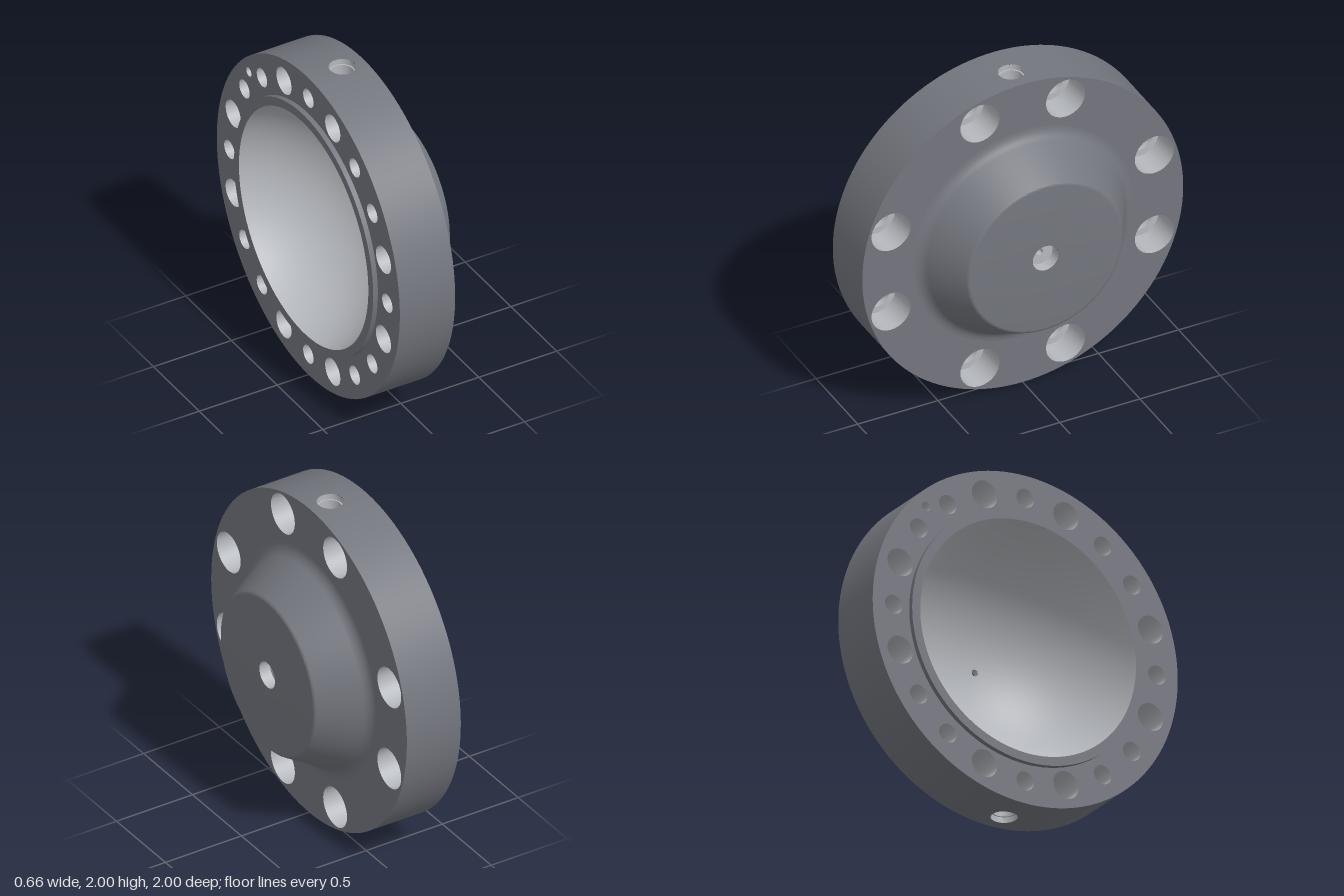
import * as THREE from 'three';
import { toCreasedNormals } from 'three/addons/utils/BufferGeometryUtils.js';

const BACK = -0.3, FRONT = 0.055;      // flange faces along x
const PITCH = 0.863;                   // bolt circle radius
const SMALL = 0.057, BOLT = 0.083, SINK = 0.122;
const PORT_X = -0.083, PORT_R = 0.075;
const GAP = Math.PI / 32;              // half angle of the rim patch around a radial port
const HUB_R = 0.69, FILLET = 0.085;    // foot of the hub and its fillet
const BOWL_R = 0.73, BOWL_X = -0.51;   // radius and centre of the inner bowl

// Dark outer skin, light machined bores
const skin = new THREE.MeshStandardMaterial({ color: 0x74767e });
const bore = new THREE.MeshStandardMaterial({ color: 0xb5b8bd });

// Circle as a list of points
function circle(cx, cy, r, n) {
  return Array.from({ length: n }, (_, i) => {
    const a = (i / n) * Math.PI * 2;
    return new THREE.Vector2(cx + r * Math.cos(a), cy + r * Math.sin(a));
  });
}

// Revolved [radius, height] profile with sharp edges kept; height runs along y
function revolve(profile, segments, start = 0, length = Math.PI * 2) {
  const pts = profile.map(([r, h]) => new THREE.Vector2(r, h));
  return toCreasedNormals(new THREE.LatheGeometry(pts, segments, start, length), 0.6);
}

// Turn the y axis of a revolved part onto x
const alongX = (geometry) => geometry.rotateZ(-Math.PI / 2);

// Flat annular face pierced by round holes given as [u, v, radius]
function piercedFace(inner, holes) {
  const shape = new THREE.Shape(circle(0, 0, 1, 128));
  shape.holes.push(new THREE.Path(circle(0, 0, inner, 128)));
  for (const [u, v, r] of holes) shape.holes.push(new THREE.Path(circle(u, v, r, 32)));
  return new THREE.ShapeGeometry(shape);
}

// Piece of the rim bent round the axis, with a round opening for a radial port
function rimPatch() {
  const pts = [];
  for (let i = -2; i <= 2; i++) pts.push(new THREE.Vector2(i * GAP / 2, BACK));
  for (let i = 2; i >= -2; i--) pts.push(new THREE.Vector2(i * GAP / 2, FRONT));
  const shape = new THREE.Shape(pts);
  shape.holes.push(new THREE.Path(circle(0, PORT_X, PORT_R, 32)));
  const geometry = new THREE.ShapeGeometry(shape);
  const pos = geometry.attributes.position, nor = geometry.attributes.normal;
  for (let i = 0; i < pos.count; i++) {
    const a = pos.getX(i), x = pos.getY(i);
    pos.setXYZ(i, x, Math.cos(a), Math.sin(a));
    nor.setXYZ(i, 0, Math.cos(a), Math.sin(a));
  }
  return geometry;
}

export function createModel() {
  const model = new THREE.Group();
  model.name = 'flange';
  const body = new THREE.Group();
  body.name = 'flangeBody';
  body.position.y = 1;
  model.add(body);

  const add = (name, geometry, material, y = 0, z = 0) => {
    const mesh = new THREE.Mesh(geometry, material);
    mesh.name = name;
    mesh.position.set(0, y, z);
    body.add(mesh);
    return mesh;
  };

  // Hub: fillet, 30 degree flank and softened end face
  const hub = [];
  for (let i = 0; i <= 6; i++) {
    const a = (i / 6) * Math.PI / 3;
    hub.push([HUB_R - FILLET * Math.sin(a), FRONT + FILLET * (1 - Math.cos(a))]);
  }
  hub.push([0.488, 0.318], [0.482, 0.325], [0.475, 0.329], [0.466, 0.33], [0.08, 0.33]);
  add('hub', alongX(revolve(hub, 128)), skin);

  // Central port with its fine through hole
  add('centralPort', alongX(revolve(
    [[0.08, 0.33], [0.08, 0.26], [0.02, 0.26], [0.02, 0.22]], 48)), bore);

  // Rounded inner bowl, from the fine hole out to the mouth
  const bowl = [];
  const a0 = Math.asin(0.02 / BOWL_R), a1 = Math.acos((-0.33 - BOWL_X) / BOWL_R);
  for (let i = 0; i <= 24; i++) {
    const a = a0 + (a1 - a0) * i / 24;
    bowl.push([BOWL_R * Math.sin(a), BOWL_X + BOWL_R * Math.cos(a)]);
  }
  add('bowl', alongX(revolve(bowl, 128)), bore);

  // Raised sealing face
  add('raisedFace', alongX(revolve([[0.707, -0.33], [0.76, -0.33], [0.76, BACK]], 128)), skin);

  // Twenty hole positions: eight through bolts, the rest blind holes in the back face
  const bolts = [], blind = [];
  for (let i = 0; i < 20; i++) {
    const a = (i * Math.PI) / 10;
    const spot = [PITCH * Math.cos(a), PITCH * Math.sin(a)];
    (i % 5 === 1 || i % 5 === 4 ? bolts : blind).push(spot);
  }
  const pin = [-0.65, 0.65];

  // Flange faces
  add('frontFace', piercedFace(HUB_R, bolts.map(([u, v]) => [u, v, SINK]))
    .rotateY(Math.PI / 2), skin).position.x = FRONT;
  add('backFace', piercedFace(0.76, [
    ...bolts.map(([u, v]) => [u, v, BOLT]),
    ...blind.map(([u, v]) => [u, v, SMALL]),
    [...pin, 0.028],
  ]).rotateY(-Math.PI / 2), skin).position.x = BACK;

  // Counterbored bolt holes
  const boltHole = alongX(revolve(
    [[SINK, FRONT], [SINK, -0.13], [BOLT, -0.13], [BOLT, BACK]], 32));
  for (const [z, y] of bolts) add('boltHole', boltHole, bore, y, z);

  // Blind holes and locating pin hole
  const blindHole = alongX(revolve([[0, -0.01], [SMALL, -0.01], [SMALL, BACK]], 32));
  for (const [z, y] of blind) add('blindHole', blindHole, bore, y, z);
  add('pinHole', alongX(revolve([[0, -0.2], [0.028, -0.2], [0.028, BACK]], 32)),
    bore, pin[1], pin[0]);

  // Rim halves, with a pierced patch and a stepped radial port at top and bottom
  const patch = rimPatch();
  const port = revolve(
    [[PORT_R, 0.999], [PORT_R, 0.965], [0.066, 0.965], [0.066, 0.8], [0, 0.8]], 32);
  for (const side of [0, 1]) {
    const start = Math.PI / 2 + side * Math.PI + GAP;
    add('rim', alongX(revolve([[1, BACK], [1, FRONT]], 60, start, Math.PI - 2 * GAP)), skin);
    add('rimPatch', patch, skin).rotation.x = side * Math.PI;
    const radialPort = add('radialPort', port, bore);
    radialPort.position.x = PORT_X;
    radialPort.rotation.x = side * Math.PI;
  }
  return model;
}
